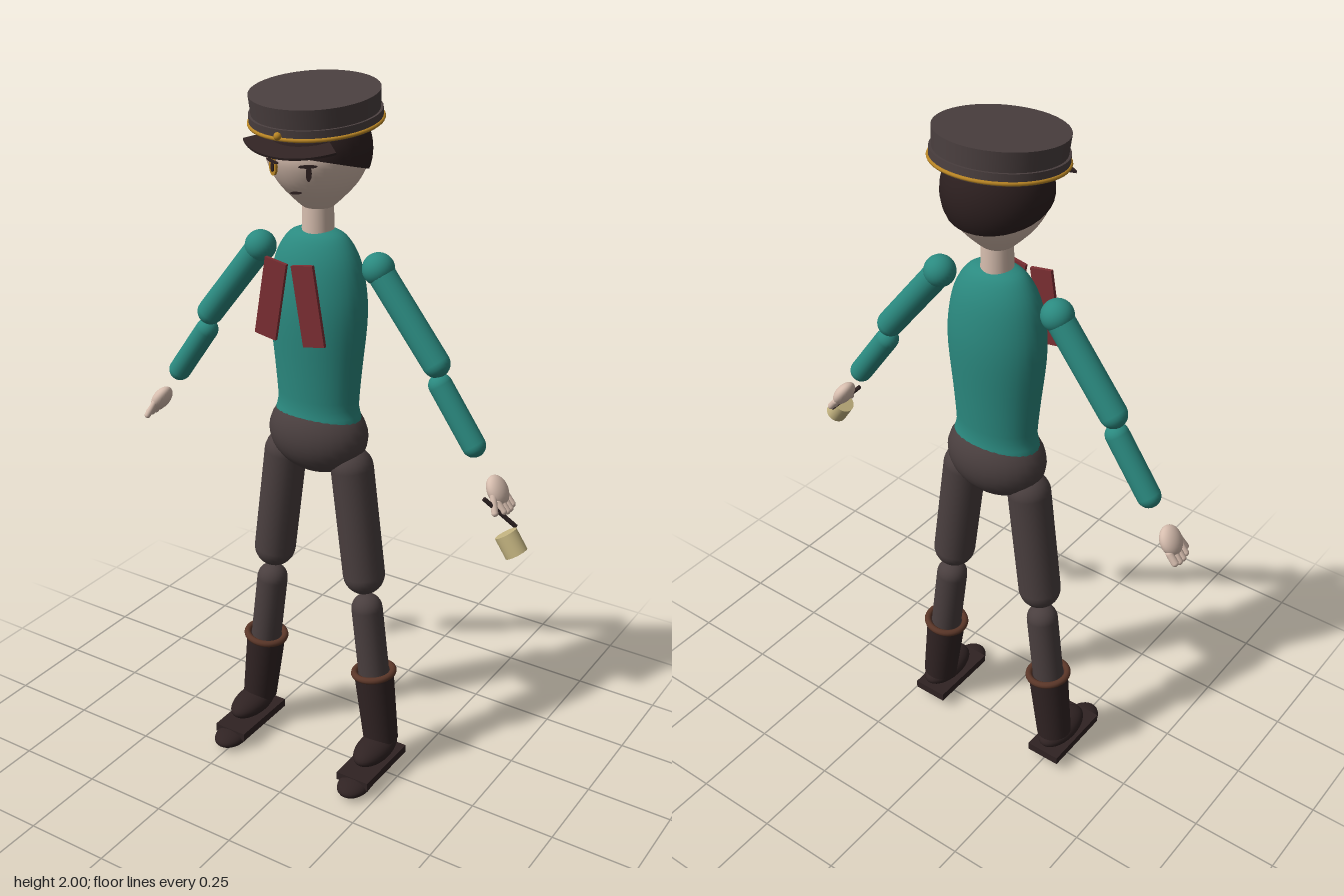
import * as THREE from 'three';

const mat = (name, color, side = THREE.FrontSide) => {
  const m = new THREE.MeshStandardMaterial({ color, side });
  m.name = name;
  return m;
};

const CX = -0.04, CZ = -0.022; // body centre line
const V = (x, y, z = 0) => new THREE.Vector3(x, y, z);

export function createModel() {
  const root = new THREE.Group();
  root.name = 'cappedFigure';
  const teal = mat('teal cloth', 0x2b8a80);
  const charcoal = mat('charcoal cloth', 0x4a3f3f);
  const boot = mat('dark leather', 0x302323);
  const cuff = mat('brown leather', 0x5a3628);
  const red = mat('red ribbon', 0x7c2f33);
  const skin = mat('skin', 0xd6bdae);
  const gold = mat('gold', 0xb98524);
  const straw = mat('straw', 0xc6b682);
  const hair = mat('dark hair', 0x2c1f1f, THREE.DoubleSide);

  const add = (parent, name, geo, material, x = 0, y = 0, z = 0) => {
    const m = new THREE.Mesh(geo, material);
    m.name = name;
    m.position.set(x, y, z);
    parent.add(m);
    return m;
  };
  const ball = (parent, name, material, x, y, z, rx, ry = rx, rz = rx) => {
    const m = add(parent, name, new THREE.SphereGeometry(1, 28, 18), material, x, y, z);
    m.scale.set(rx, ry, rz);
    return m;
  };
  // turn a mesh so its y axis runs from a to b
  const align = (m, a, b) => {
    m.position.copy(a).add(b).multiplyScalar(0.5);
    m.quaternion.setFromUnitVectors(V(0, 1), b.clone().sub(a).normalize());
    return m;
  };
  const capsule = (parent, name, material, a, b, r) =>
    align(add(parent, name, new THREE.CapsuleGeometry(r, a.distanceTo(b), 8, 24), material), a, b);
  const rod = (parent, name, material, a, b, rTop, rBottom) =>
    align(add(parent, name, new THREE.CylinderGeometry(rTop, rBottom, a.distanceTo(b), 28), material), a, b);
  const lathe = (pts) =>
    new THREE.LatheGeometry(new THREE.SplineCurve(pts.map(p => new THREE.Vector2(...p))).getPoints(32)
      .map(p => new THREE.Vector2(Math.max(p.x, 0), p.y)), 36);

  const body = new THREE.Group();
  body.name = 'body';
  body.position.set(CX, 0, CZ);
  root.add(body);

  // torso, pelvis and neck
  const torso = add(body, 'torso', lathe([[0, 1.08], [0.122, 1.08], [0.12, 1.14], [0.128, 1.24], [0.142, 1.38],
    [0.139, 1.47], [0.12, 1.55], [0.085, 1.605], [0.045, 1.623], [0, 1.625]]), teal);
  torso.scale.z = 0.68;
  ball(body, 'pelvis', charcoal, 0, 1.045, 0, 0.148, 0.115, 0.106);
  add(body, 'neck', new THREE.CylinderGeometry(0.04, 0.044, 0.14, 24), skin, 0, 1.65, 0);

  // ribbon tails hanging in front of the chest
  for (const s of [-1, 1]) {
    const tail = add(body, 'ribbonTail', new THREE.BoxGeometry(0.066, 0.216, 0.01), red, s * 0.058, 1.458, 0.135);
    tail.rotation.z = s * 0.17;
  }

  // head with a tapered chin
  add(body, 'head', lathe([[0, 1.676], [0.03, 1.677], [0.067, 1.708], [0.106, 1.752], [0.13, 1.8],
    [0.135, 1.84], [0.12, 1.895], [0.08, 1.94], [0, 1.964]]), skin);
  const cap = add(body, 'hair', new THREE.SphereGeometry(0.14, 36, 20, 0, Math.PI * 2, 0, 1.8), hair, 0, 1.832, 0);
  cap.rotation.x = -0.28;

  // face details
  const plate = (name, material, x, y, z, w, h, turn = 0, roll = 0) => {
    const m = add(body, name, new THREE.CylinderGeometry(1, 1, 1, 20), material, x, y, z);
    m.geometry.rotateX(Math.PI / 2);
    m.scale.set(w, h, 0.006);
    m.rotation.set(0, turn, roll);
  };
  plate('goldEye', gold, -0.053, 1.805, 0.123, 0.016, 0.024, -0.4);
  plate('goldEyePupil', hair, -0.052, 1.803, 0.127, 0.006, 0.012, -0.4);
  plate('darkEye', hair, 0.053, 1.8, 0.123, 0.007, 0.02, 0.4);
  for (const s of [-1, 1]) plate('brow', hair, s * 0.053, 1.818, 0.127, 0.024, 0.004, s * 0.4, s * 0.06);
  plate('mouth', hair, -0.003, 1.737, 0.096, 0.018, 0.0035, 0, 0.15);

  // cap: crown, gold band, badge and visor
  const hat = new THREE.Group();
  hat.name = 'cap';
  hat.position.set(0, 1.912, 0.008);
  hat.rotation.x = 0.11;
  body.add(hat);
  add(hat, 'crown', new THREE.CylinderGeometry(0.167, 0.163, 0.058, 48), charcoal, 0, 0.041, 0);
  add(hat, 'capBand', new THREE.CylinderGeometry(0.17, 0.17, 0.03, 48), charcoal, 0, 0.005, 0);
  add(hat, 'goldBand', new THREE.TorusGeometry(0.17, 0.005, 8, 56), gold, 0, -0.004, 0).rotation.x = Math.PI / 2;
  ball(hat, 'badge', gold, 0, 0.004, 0.172, 0.01);
  const arc = new THREE.Shape();
  arc.absarc(0, 0, 0.19, Math.PI * 0.24, Math.PI * 0.76, false);
  arc.absarc(0, 0, 0.125, Math.PI * 0.76, Math.PI * 0.24, true);
  const visor = add(body, 'visor', new THREE.ExtrudeGeometry(arc, { depth: 0.006, bevelEnabled: false, curveSegments: 28 }),
    boot, 0, 1.904, 0.008);
  visor.rotation.x = Math.PI / 2 + 0.3;

  for (const s of [-1, 1]) {
    // arm
    const arm = new THREE.Group();
    arm.name = s > 0 ? 'leftArm' : 'rightArm';
    body.add(arm);
    ball(arm, 'shoulder', teal, s * 0.184, 1.544, 0, 0.043);
    capsule(arm, 'upperArm', teal, V(s * 0.19, 1.535), V(s * 0.36, 1.322), 0.037);
    capsule(arm, 'forearm', teal, V(s * 0.375, 1.266), V(s * 0.478, 1.121), 0.032);

    // hand: palm, folded fingers and thumb
    const hand = new THREE.Group();
    hand.name = 'hand';
    hand.position.set(s * 0.553, 1.012, 0);
    hand.rotation.z = -s * 2.6 + Math.PI;
    if (s > 0) hand.rotation.z = Math.PI - 2.6;
    else hand.rotation.z = 2.6 - Math.PI;
    arm.add(hand);
    ball(hand, 'palm', skin, 0, 0, 0, 0.023, 0.042, 0.037);
    for (let i = 0; i < 4; i++) {
      const z = -0.026 + i * 0.017;
      capsule(hand, 'finger', skin, V(0, -0.025, z), V(s * 0.004, -0.06 + Math.abs(i - 1.5) * 0.005, z), 0.01);
    }
    capsule(hand, 'thumb', skin, V(0, -0.005, 0.03), V(-s * 0.006, -0.045, 0.047), 0.009);

    // leg
    const leg = new THREE.Group();
    leg.name = s > 0 ? 'leftLeg' : 'rightLeg';
    body.add(leg);
    capsule(leg, 'thigh', charcoal, V(s * 0.11, 0.96), V(s * 0.152, 0.638), 0.06);
    const knee = V(s * 0.164, 0.527), ankle = V(s * 0.218, 0.1), top = V(s * 0.19, 0.322);
    capsule(leg, 'shin', charcoal, knee, ankle, 0.045);
    rod(leg, 'bootShaft', boot, ankle, top, 0.058, 0.051);
    const rim = add(leg, 'bootCuff', new THREE.TorusGeometry(0.057, 0.01, 10, 36).rotateX(Math.PI / 2), cuff);
    align(rim, ankle, top);
    rim.position.copy(top);
    ball(leg, 'bootFoot', boot, s * 0.22, 0.086, 0.035, 0.05, 0.036, 0.095);
    add(leg, 'sole', new THREE.BoxGeometry(0.104, 0.025, 0.22), boot, s * 0.218, 0.042, 0.052);
    ball(leg, 'toe', boot, s * 0.22, 0.026, 0.148, 0.047, 0.026, 0.064);
  }

  // pipe held in the left hand
  const pipe = new THREE.Group();
  pipe.name = 'pipe';
  root.add(pipe);
  rod(pipe, 'pipeStem', boot, V(0.575, 0.928, -0.012), V(0.502, 1.008, 0.034), 0.006, 0.006);
  rod(pipe, 'pipeBowl', straw, V(0.602, 0.876, 0.032), V(0.568, 0.926, 0.032), 0.031, 0.031);

  return root;
}
